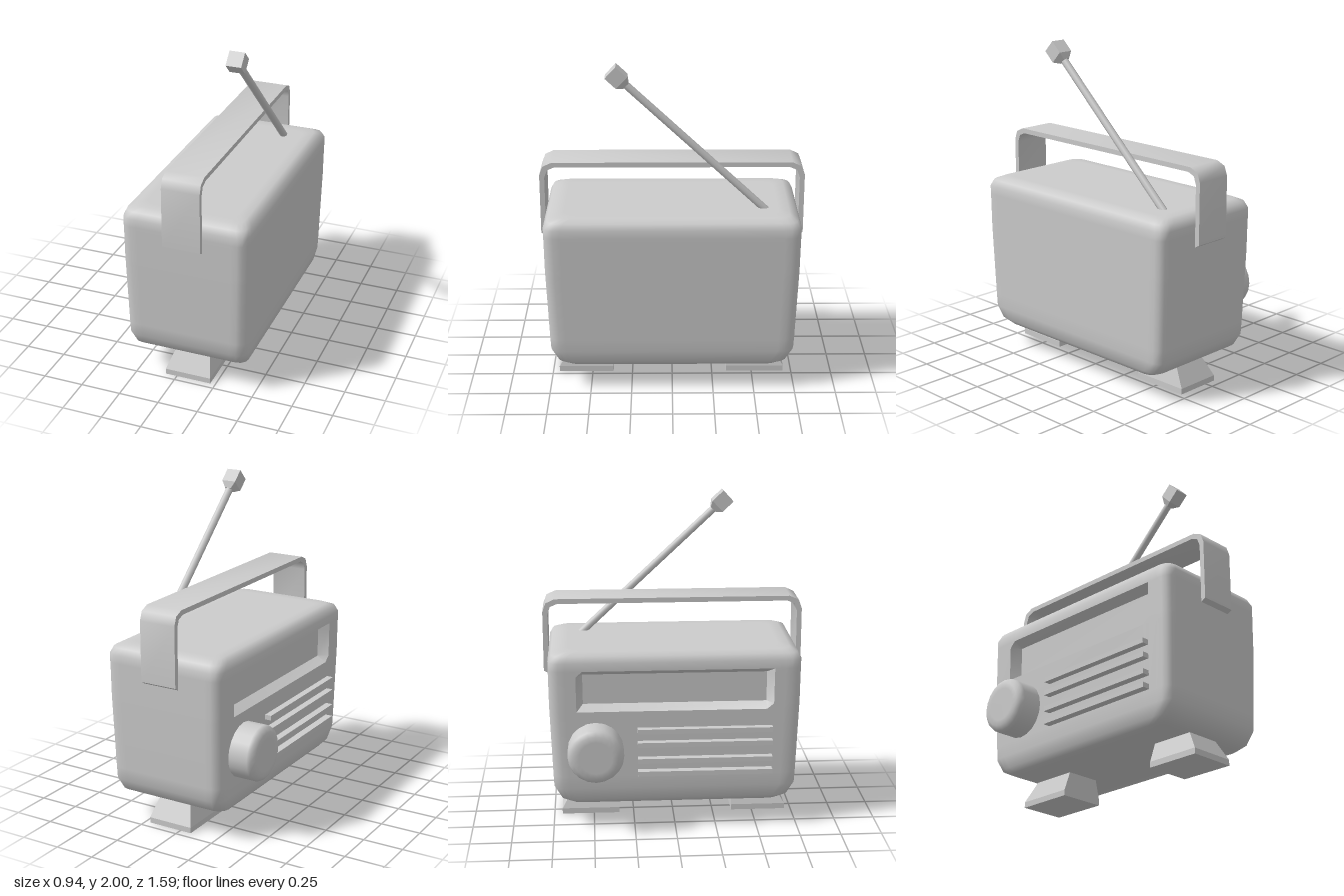
import * as THREE from 'three';
import { toCreasedNormals } from 'three/addons/utils/BufferGeometryUtils.js';

const grey = new THREE.MeshStandardMaterial({ color: 0xcccccc });

// Skin closed rings (listed bottom to top, counter-clockwise from above) and cap both ends.
function loft(rings) {
  const n = rings[0].length, pos = rings.flat(2), idx = [];
  for (let r = 0; r < rings.length - 1; r++)
    for (let i = 0; i < n; i++) {
      const a = r * n + i, b = r * n + (i + 1) % n;
      idx.push(a, b, b + n, a, b + n, a + n);
    }
  const top = (rings.length - 1) * n;
  for (let i = 1; i < n - 1; i++) {
    idx.push(0, i + 1, i);
    idx.push(top, top + i, top + i + 1);
  }
  const g = new THREE.BufferGeometry();
  g.setAttribute('position', new THREE.Float32BufferAttribute(pos, 3));
  g.setIndex(idx);
  return g;
}

// Rounded rectangle ring; points on the -x side can be pushed in to form the dial recess.
function bodyRing(y, hx, hz, push) {
  const cx = 0.073, r = 0.06, ring = [];
  const signs = [[1, -1], [-1, -1], [-1, 1], [1, 1]];
  signs.forEach(([sx, sz], k) => {
    const ox = cx + sx * (hx - r), oz = sz * (hz - r);
    const add = (deg, slide) => {
      const a = THREE.MathUtils.degToRad(deg);
      const c = Math.cos(a), s = Math.sin(a);
      // slide moves the point along the straight side, away from the corner
      ring.push([ox + c * r - s * slide, y, oz - s * r - c * slide]);
    };
    add(k * 90, -0.04);
    for (let j = 0; j <= 3; j++) add(k * 90 + j * 30, 0);
    add(k * 90 + 90, 0.04);
    if (k === 1)
      for (const z of [-0.6, -0.56, 0.56, 0.6])
        ring.push([cx - hx + (Math.abs(z) < 0.58 ? push : 0), y, z * hz / 0.765]);
  });
  return ring;
}

export function createModel() {
  const model = new THREE.Group();
  const add = (name, geometry, parent = model) => {
    const m = new THREE.Mesh(geometry, grey);
    m.name = name;
    parent.add(m);
    return m;
  };

  // Body: [height, half width, half length, recess depth]
  const levels = [
    [0.155, 0.28, 0.57, 0], [0.155, 0.34, 0.64, 0], [0.185, 0.365, 0.70, 0],
    [0.26, 0.378, 0.742, 0], [0.34, 0.38, 0.746, 0], [0.755, 0.388, 0.761, 0],
    [0.79, 0.389, 0.762, 0.06], [0.975, 0.39, 0.764, 0.06], [1.01, 0.391, 0.765, 0],
    [1.06, 0.391, 0.765, 0], [1.10, 0.375, 0.745, 0], [1.12, 0.335, 0.70, 0],
    [1.12, 0.28, 0.64, 0],
  ];
  add('body', toCreasedNormals(loft(levels.map((l) => bodyRing(...l))), 0.9));

  // Feet: blocks flaring outwards towards the ground
  for (const [name, s, inner, outer] of [['frontFoot', 1, 0.37, 0.71], ['rearFoot', -1, 0.34, 0.70]]) {
    const rings = [[0, 0], [0.035, 0], [0.17, 1]].map(([y, t]) => {
      const x0 = -0.073 + 0.048 * t, x1 = 0.218 - 0.033 * t;
      const ends = [s * inner, s * (outer - 0.08 * t)];
      const z0 = Math.min(...ends), z1 = Math.max(...ends);
      return [[x1, y, z1], [x1, y, z0], [x0, y, z0], [x0, y, z1]];
    });
    add(name, toCreasedNormals(loft(rings), 0.1));
  }

  // Handle: a flat strap bent over the body
  const outer = [[0.795, 0.94], [0.795, 1.31], [0.775, 1.365], [0.72, 1.39]];
  const inner = [[0.705, 1.36], [0.748, 1.342], [0.765, 1.295], [0.765, 0.922]];
  const flip = (pts) => pts.map(([z, y]) => [-z, y]).reverse();
  const outline = [...outer, ...flip(outer), ...flip(inner), ...inner];
  const strap = new THREE.ExtrudeGeometry(
    new THREE.Shape(outline.map(([z, y]) => new THREE.Vector2(z, y))),
    { depth: 0.235, bevelEnabled: false });
  strap.rotateY(-Math.PI / 2).translate(0.192, 0, 0);
  add('handle', toCreasedNormals(strap, 0.9));

  // Tuning knob
  const knobProfile = [[0.17, -0.02], [0.17, 0.12], [0.162, 0.142], [0.135, 0.16], [0.1, 0.16], [0, 0.16]];
  const knob = new THREE.LatheGeometry(knobProfile.map((p) => new THREE.Vector2(...p)), 20);
  knob.rotateZ(Math.PI / 2).translate(-0.312, 0.517, -0.485);
  add('knob', knob);

  // Speaker grille bars
  const grille = new THREE.Group();
  grille.name = 'speakerGrille';
  model.add(grille);
  for (const y of [0.635, 0.55, 0.447, 0.365])
    add('grilleBar', new THREE.BoxGeometry(0.06, 0.03, 0.82), grille).position.set(-0.325, y, 0.18);

  // Antenna: built along its own axis, then leaned forwards
  const antenna = new THREE.Group();
  antenna.name = 'antenna';
  model.add(antenna);
  const base = new THREE.Vector3(0.236, 1.09, -0.58);
  const axis = new THREE.Vector3(0.236, 1.968, 0.358).sub(base);
  const length = axis.length();
  antenna.position.copy(base);
  antenna.rotation.x = Math.atan2(axis.z, axis.y);
  const rod = new THREE.CylinderGeometry(0.023, 0.023, length - 0.08, 8);
  add('antennaRod', rod, antenna).position.y = (length - 0.08) / 2;
  const square = (rTop, rBottom, h) => toCreasedNormals(
    new THREE.CylinderGeometry(rTop, rBottom, h, 4).rotateY(Math.PI / 4), 0.1);
  add('antennaTip', square(0.066, 0.066, 0.09), antenna).position.y = length - 0.045;
  add('antennaTipTaper', square(0.066, 0.03, 0.035), antenna).position.y = length - 0.1075;

  return model;
}
